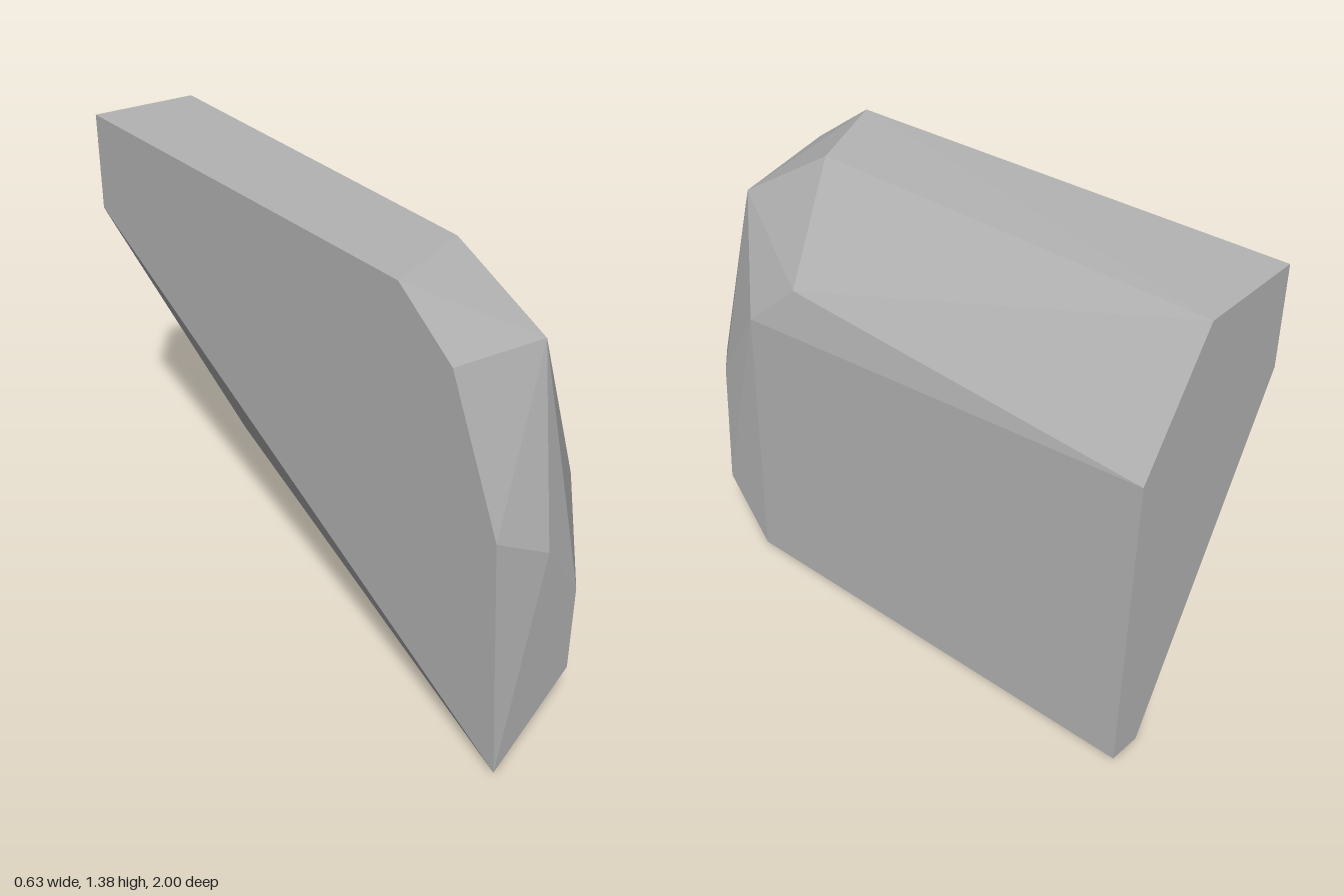
import * as THREE from 'three';
import { ConvexGeometry } from 'three/addons/geometries/ConvexGeometry.js';

export function createModel() {
  const group = new THREE.Group();
  group.name = 'facetedBlock';

  const stone = new THREE.MeshStandardMaterial({ color: 0xb4b4b4, flatShading: true });
  stone.name = 'stone grey';

  // corners of the flat back end
  const backEnd = [
    [-0.32, 1.375, -1], [0.045, 1.365, -1], [0.295, 0.98, -1],
    [0.315, 0.005, -1], [0.204, 0, -1], [-0.32, 1.05, -1],
  ];
  // front outline of the flat inner side
  const innerEdge = [
    [-0.32, 1.36, 0.555], [-0.32, 1.2, 0.775], [-0.32, 0.765, 0.965], [-0.32, 0.01, 1],
  ];
  // chipped corners of the nose
  const nose = [
    [0, 1.352, 0.42], [0.05, 1.15, 0.735], [-0.12, 0.65, 0.962],
    [0.025, 0.45, 0.937], [0.01, 0.18, 0.94], [0.09, 0, 0.77],
  ];
  // corners where the nose meets the outer side
  const outerEdge = [
    [0.265, 1.035, 0.31], [0.295, 0.88, 0.48], [0.265, 0.6, 0.66],
    [0.285, 0.18, 0.65], [0.315, 0.01, 0.455],
  ];

  const corners = [...backEnd, ...innerEdge, ...nose, ...outerEdge];
  const block = new THREE.Mesh(
    new ConvexGeometry(corners.map((p) => new THREE.Vector3(...p))), stone);
  block.name = 'block';
  group.add(block);
  return group;
}
